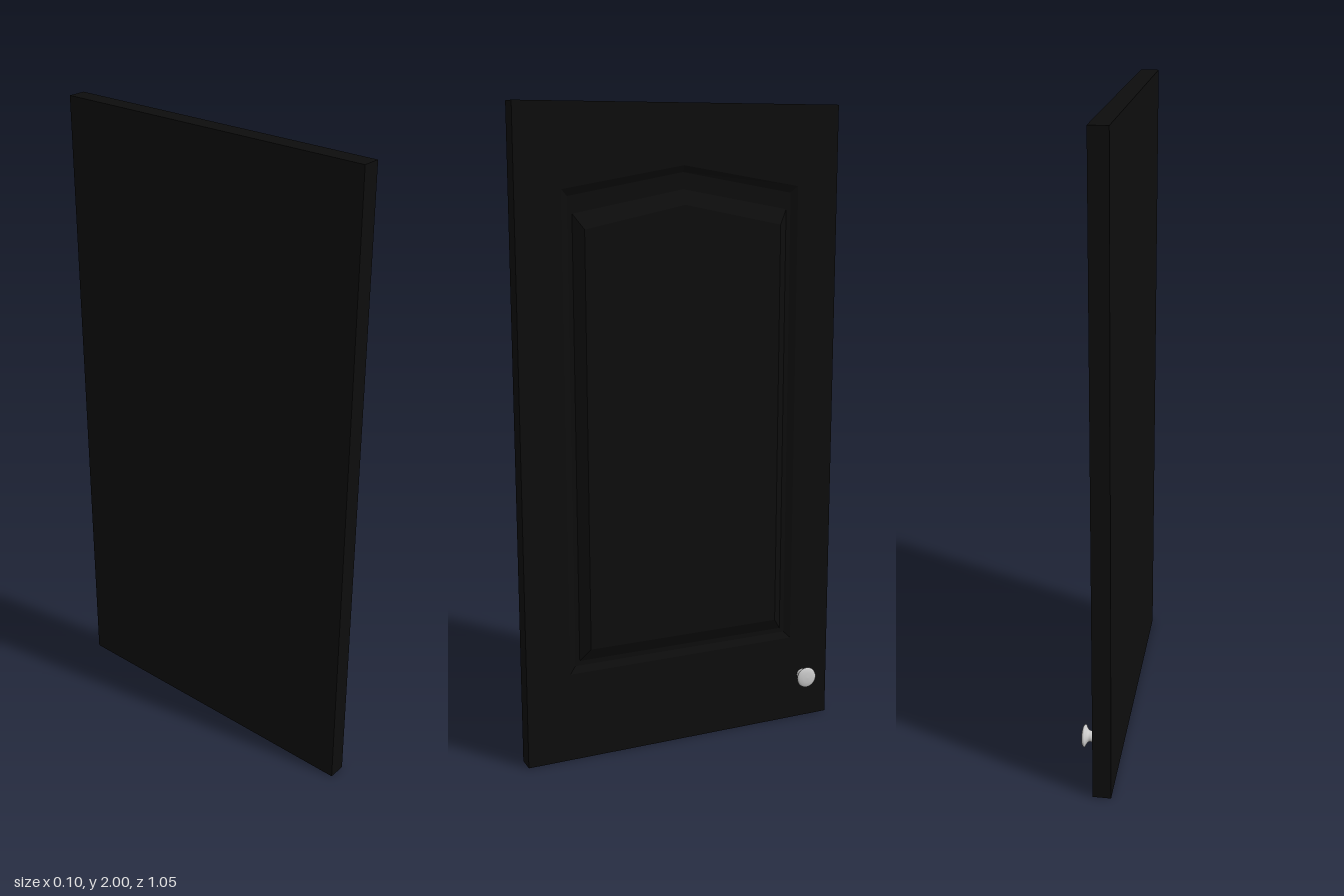
import * as THREE from 'three';

// five-cornered outline facing +x: flat sides and bottom, peaked top
function outline([halfWidth, bottom, shoulder, peak, x]) {
  return [
    [x, bottom, -halfWidth], [x, shoulder, -halfWidth], [x, peak, 0],
    [x, shoulder, halfWidth], [x, bottom, halfWidth],
  ];
}

// skin between successive outlines, closed at both ends
function loftOutlines(sections) {
  const loops = sections.map(outline);
  const positions = [];
  const tri = (a, b, c) => positions.push(...a, ...b, ...c);
  for (let i = 0; i < loops.length - 1; i++) {
    for (let j = 0; j < 5; j++) {
      const k = (j + 1) % 5;
      tri(loops[i][j], loops[i][k], loops[i + 1][k]);
      tri(loops[i][j], loops[i + 1][k], loops[i + 1][j]);
    }
  }
  const back = loops[0];
  const front = loops[loops.length - 1];
  for (let j = 1; j < 4; j++) {
    tri(back[0], back[j + 1], back[j]);
    tri(front[0], front[j], front[j + 1]);
  }
  const geometry = new THREE.BufferGeometry();
  geometry.setAttribute('position', new THREE.Float32BufferAttribute(positions, 3));
  geometry.computeVertexNormals();
  return geometry;
}

export function createModel() {
  const group = new THREE.Group();
  group.name = 'cabinetDoor';

  // slab, shallow groove and raised centre panel:
  // half width, bottom, shoulder, peak, depth
  const door = new THREE.Mesh(
    loftOutlines([
      [0.525, 0, 2, 2, -0.052],
      [0.525, 0, 2, 2, 0.004],
      [0.46, 0.08, 1.91, 1.91, 0.007],
      [0.385, 0.285, 1.755, 1.82, 0.007],
      [0.365, 0.305, 1.735, 1.8, -0.004],
      [0.35, 0.32, 1.685, 1.75, -0.004],
      [0.32, 0.36, 1.64, 1.705, 0.018],
    ]),
    new THREE.MeshStandardMaterial({ color: 0x0d0d0d })
  );
  door.name = 'doorPanel';
  group.add(door);

  // turned knob: straight stem, flared head, domed cap
  const profile = [
    [0.017, 0], [0.017, 0.02], [0.019, 0.025], [0.026, 0.03], [0.033, 0.033],
    [0.034, 0.036], [0.033, 0.039], [0.028, 0.042], [0.016, 0.0445], [0, 0.045],
  ].map(([r, h]) => new THREE.Vector2(r, h));
  const knob = new THREE.Mesh(
    new THREE.LatheGeometry(profile, 32),
    new THREE.MeshStandardMaterial({ color: 0xcccccc })
  );
  knob.name = 'knob';
  knob.rotation.z = -Math.PI / 2;
  knob.position.set(0.006, 0.15, -0.43);
  group.add(knob);

  return group;
}
